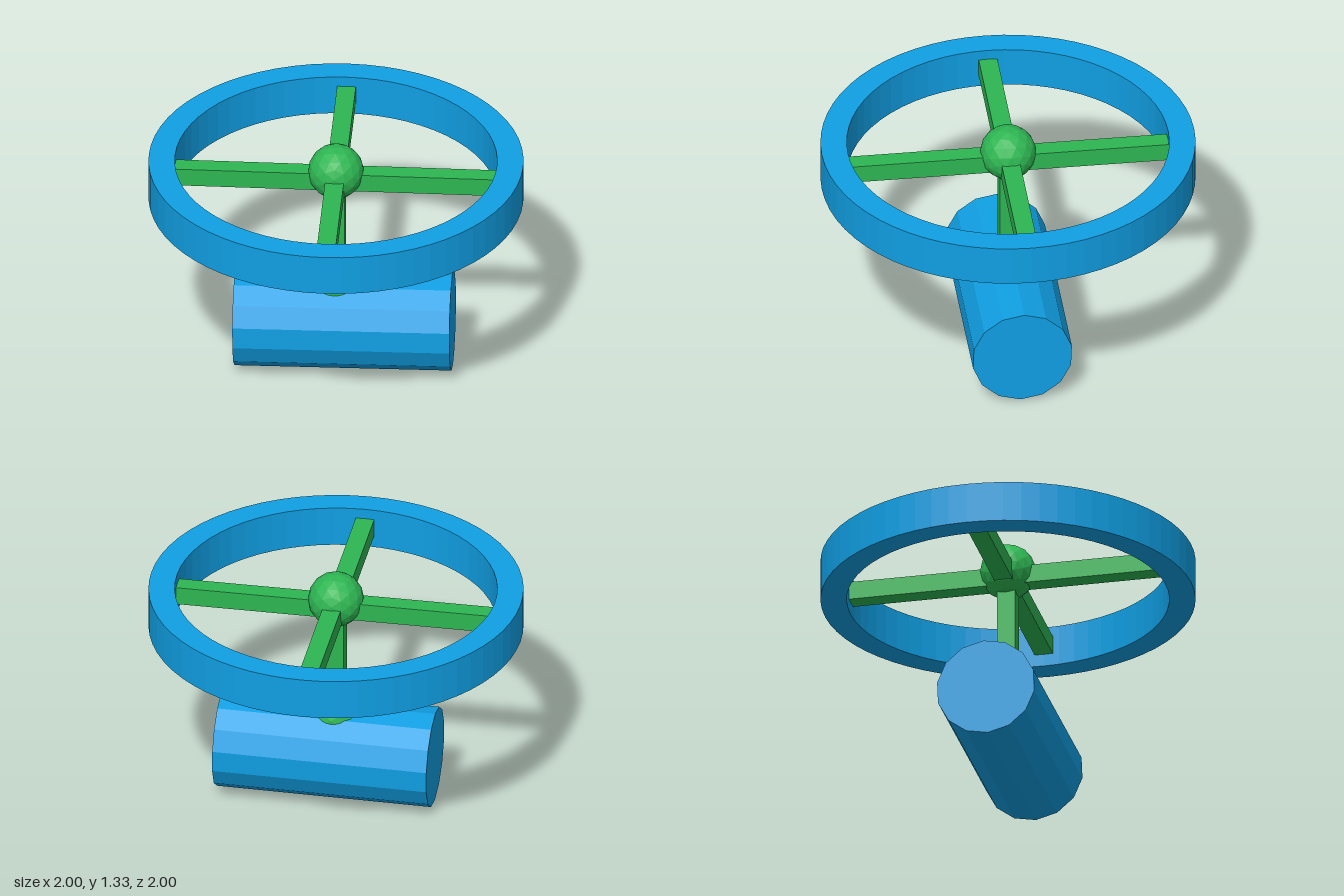
import * as THREE from 'three';

const blue = new THREE.MeshStandardMaterial({ color: 0x109fe3, flatShading: true });
const green = new THREE.MeshStandardMaterial({ color: 0x2eb653, flatShading: true });

export function createModel() {
  const model = new THREE.Group();
  const add = (name, geometry, material, x, y, z) => {
    const mesh = new THREE.Mesh(geometry, material);
    mesh.name = name;
    mesh.position.set(x, y, z);
    model.add(mesh);
    return mesh;
  };

  // Lying barrel, very slightly tilted
  const sides = 14;
  const barrel = add('barrel',
    new THREE.CylinderGeometry(0.27, 0.27, 1.16, sides, 1, false, Math.PI / sides + 0.04),
    blue, 0.043, 0.28, 0);
  barrel.rotation.z = Math.PI / 2 + 0.01;

  // Upright post with a faceted ball at each end
  add('post', new THREE.BoxGeometry(0.1, 0.7, 0.1), green, 0, 0.84, 0);
  add('lowerBall', new THREE.IcosahedronGeometry(0.15, 2), green, 0, 0.49, 0);
  add('hubBall', new THREE.IcosahedronGeometry(0.15, 2), green, 0, 1.19, 0);

  // Crossed spokes
  for (let i = 0; i < 2; i++) {
    const spoke = add('spoke', new THREE.BoxGeometry(1.74, 0.1, 0.1), green, 0, 1.148, 0);
    spoke.rotation.y = i * Math.PI / 2;
  }

  // Wheel rim
  const ring = new THREE.Shape().absarc(0, 0, 1, 0, Math.PI * 2);
  ring.holes.push(new THREE.Path().absarc(0, 0, 0.86, 0, Math.PI * 2, true));
  const rim = add('rim',
    new THREE.ExtrudeGeometry(ring, { depth: 0.225, bevelEnabled: false, curveSegments: 32 }),
    blue, 0, 1.03, 0);
  rim.rotation.x = -Math.PI / 2;

  return model;
}
